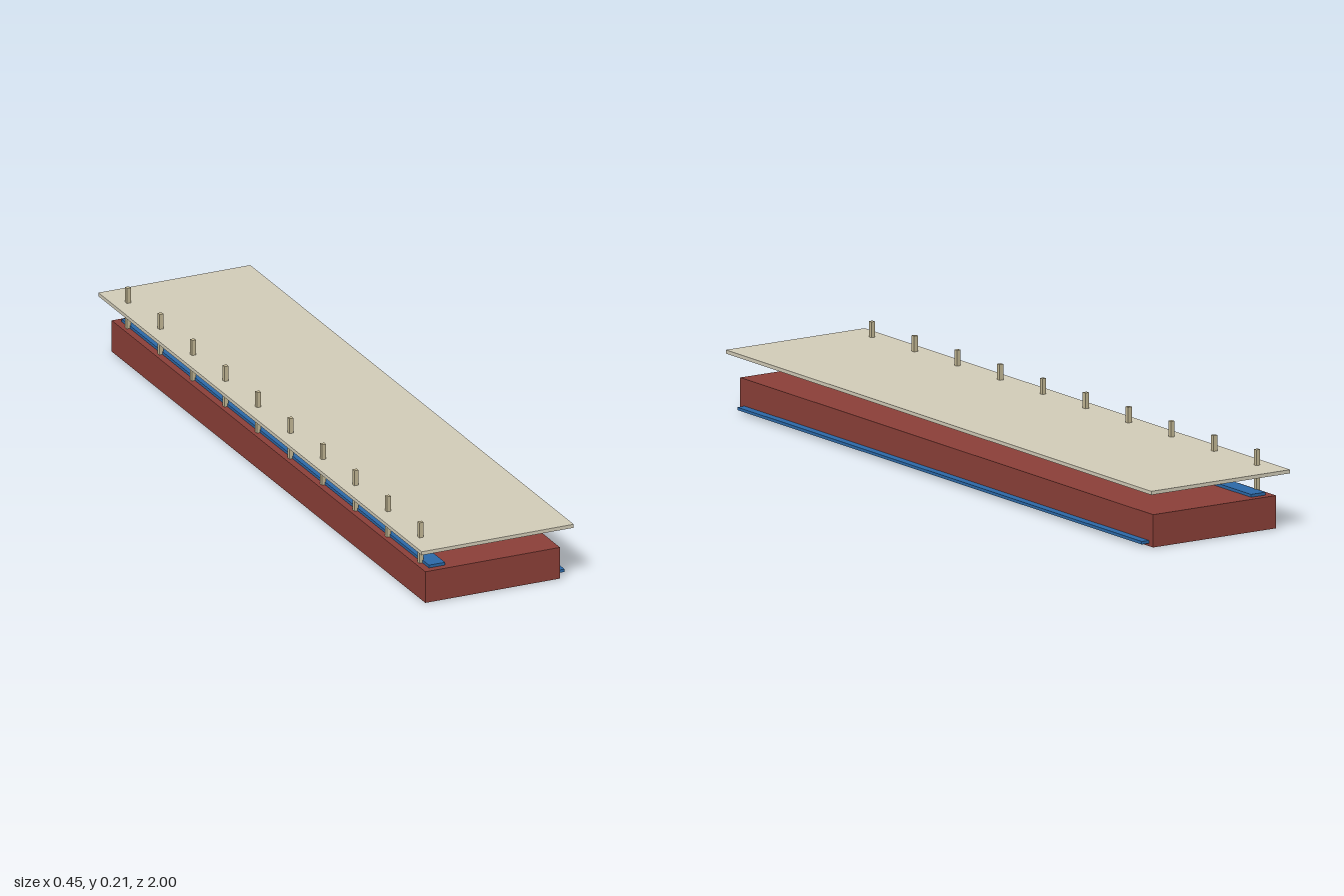
import * as THREE from 'three';

const mat = (color) => new THREE.MeshStandardMaterial({ color });
const brick = mat(0x8b3f38), panel = mat(0xa04a3a), cream = mat(0xd2ccb8), tan = mat(0xc2b794);
const blue = mat(0x2c69a8), glass = mat(0x37666c), dark = mat(0x3c3a40);

// Box given by its minimum and maximum on each axis
function box(parent, name, material, x0, x1, y0, y1, z0, z1) {
  const mesh = new THREE.Mesh(new THREE.BoxGeometry(x1 - x0, y1 - y0, z1 - z0), material);
  mesh.position.set((x0 + x1) / 2, (y0 + y1) / 2, (z0 + z1) / 2);
  mesh.name = name;
  parent.add(mesh);
  return mesh;
}

function createPavilion() {
  const g = new THREE.Group();
  g.name = 'pavilion';
  const x0 = -0.166, x1 = 0.039, mid = -0.0635, top = 0.113, L = 0.3;
  box(g, 'floor', cream, x0, x1, 0, 0.01, -L, L);
  box(g, 'core', panel, x0 + 0.007, x1 - 0.007, 0.01, top, -L + 0.007, L - 0.007);

  // End walls: posts at corners and centre, pairs of windows
  for (const s of [-1, 1]) {
    const zs = (a, b) => (s > 0 ? [a, b] : [-b, -a]);
    for (const x of [x0 + 0.0035, mid, x1 - 0.0035])
      box(g, 'endPost', tan, x - 0.0035, x + 0.0035, 0.01, top, ...zs(L - 0.007, L));
    for (const w of [-0.101, -0.028])
      for (const d of [-0.0125, 0.0125])
        box(g, 'endWindow', glass, w + d - 0.012, w + d + 0.012, 0.04, top - 0.001, ...zs(L - 0.008, L - 0.004));
  }

  // Long walls: windows between evenly spaced piers
  for (const s of [-1, 1]) {
    const face = s > 0 ? x1 - 0.007 : x0 + 0.007;
    for (let i = 0; i < 8; i++) {
      const z = (i - 3.5) * 0.07;
      box(g, 'sideWindow', glass, face - 0.002, face + 0.002, 0.04, top - 0.001, z - 0.024, z + 0.024);
    }
  }

  // Cream eave slab with a dark covering
  box(g, 'eaveSlab', cream, -0.171, 0.043, top, 0.124, -0.304, 0.304);
  box(g, 'roofCovering', dark, -0.168, 0.04, 0.124, 0.13, -0.301, 0.301);
  return g;
}

export function createModel() {
  const model = new THREE.Group();
  model.name = 'platformHall';
  box(model, 'base', brick, -0.199, 0.197, 0.0006, 0.09, -0.97, 0.97);
  box(model, 'upperStrip', blue, -0.179, -0.132, 0.09, 0.098, -0.95, 0.95);
  box(model, 'lowerStrip', blue, 0.197, 0.22, 0.008, 0.016, -0.95, 0.95);
  model.add(createPavilion());

  // Canopy pierced by a row of posts along one side
  box(model, 'canopy', cream, -0.224, 0.223, 0.153, 0.163, -1, 1);
  for (let i = 0; i < 10; i++) {
    const z = -0.905 + i * 0.201;
    box(model, 'post', tan, -0.188, -0.176, 0, 0.206, z - 0.006, z + 0.006);
  }
  return model;
}
